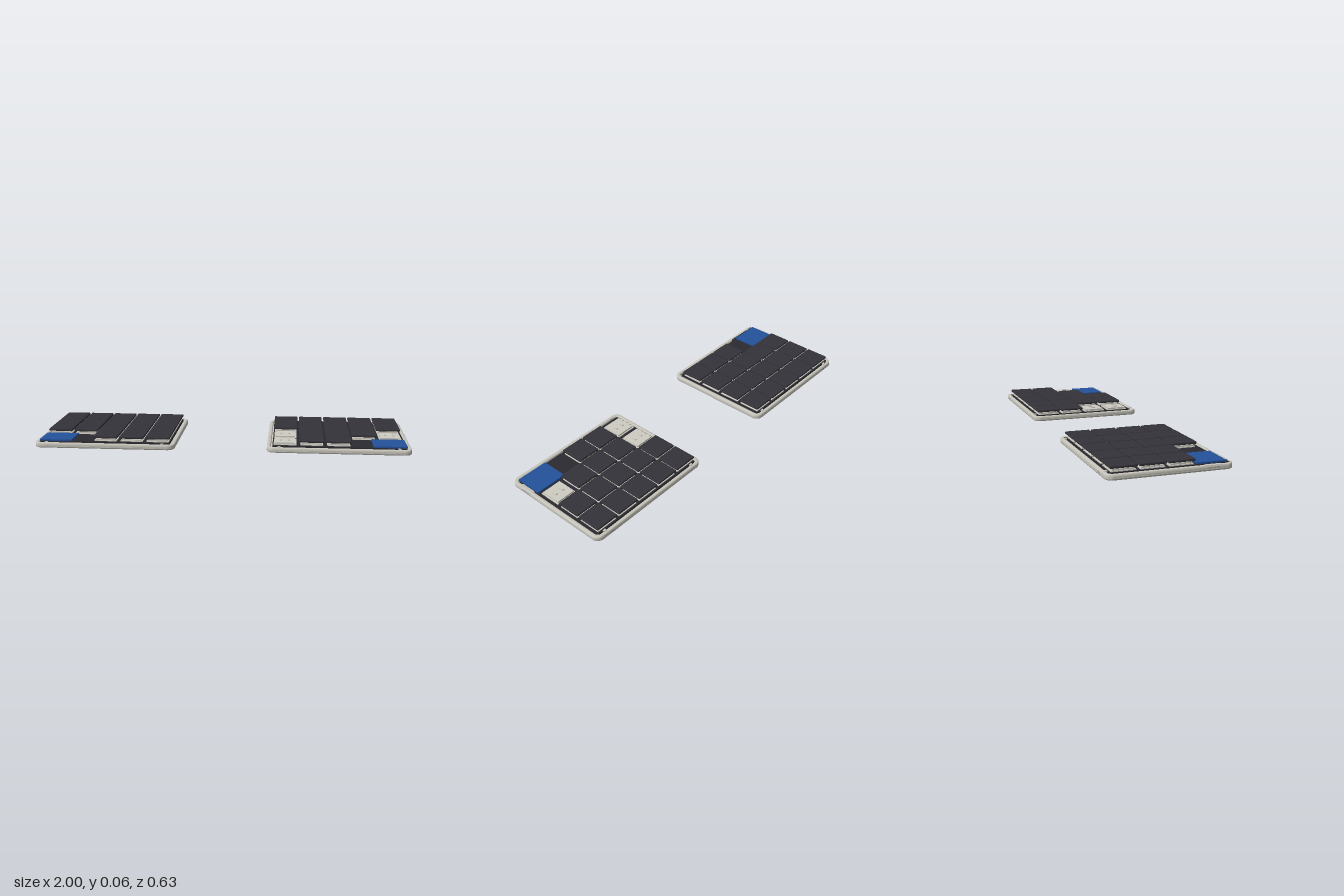
import * as THREE from 'three';
import { toCreasedNormals } from 'three/addons/utils/BufferGeometryUtils.js';
import { RoundedBoxGeometry } from 'three/addons/geometries/RoundedBoxGeometry.js';

const material = (name, color) => Object.assign(new THREE.MeshStandardMaterial({ color }), { name });

const PITCH = 0.1414;
const COLS = [0.340, 0.481, 0.623, 0.764, 0.906];
const ROWS = [0, 1, 2, 3].map((r) => -0.222 + r * PITCH);
const MID_X = 0.6225, WIDTH = 0.755, DEPTH = 0.63;

function roundedRect(w, d, r, Type = THREE.Shape) {
  const s = new Type(), x = w / 2, y = d / 2;
  s.moveTo(-x + r, -y);
  s.lineTo(x - r, -y).absarc(x - r, -y + r, r, -Math.PI / 2, 0);
  s.lineTo(x, y - r).absarc(x - r, y - r, r, 0, Math.PI / 2);
  s.lineTo(-x + r, y).absarc(-x + r, y - r, r, Math.PI / 2, Math.PI);
  s.lineTo(-x, -y + r).absarc(-x + r, -y + r, r, Math.PI, Math.PI * 1.5);
  return s;
}

// Slab lying flat from y0 to y1 with rounded edges
function slab(shape, y0, y1, bevel) {
  const g = new THREE.ExtrudeGeometry(shape, {
    depth: y1 - y0 - 2 * bevel, bevelSize: bevel, bevelThickness: bevel,
    bevelOffset: -bevel, bevelSegments: 4, curveSegments: 8,
  });
  g.rotateX(-Math.PI / 2).translate(0, y0 + bevel, 0);
  return toCreasedNormals(g, 0.7);
}

export function createModel() {
  const mats = {
    shell: material('case light grey', 0xc6c4ba),
    key: material('keycap charcoal', 0x35333a),
    board: material('circuit board black', 0x2b2a30),
    blue: material('controller blue', 0x23529a),
    switchBody: material('switch off-white', 0xcfccc2),
    metal: material('connector grey', 0xa0a4aa),
    rubber: material('rubber black', 0x2a2a2d),
    battery: material('label amber', 0xc67c30),
  };
  const model = new THREE.Group();
  model.name = 'splitKeyboard';

  const add = (parent, name, geometry, mat, x = 0, y = 0, z = 0) => {
    const m = new THREE.Mesh(geometry, mat);
    m.name = name;
    m.position.set(x, y, z);
    parent.add(m);
    return m;
  };
  // Box given by its limits on each axis
  const box = (parent, name, mat, x0, x1, y0, y1, z0, z1) =>
    add(parent, name, new THREE.BoxGeometry(Math.abs(x1 - x0), y1 - y0, z1 - z0), mat,
      (x0 + x1) / 2, (y0 + y1) / 2, (z0 + z1) / 2);

  // Shared geometries
  const floorGeo = slab(roundedRect(WIDTH, DEPTH, 0.04), 0.001, 0.018, 0.006);
  const rimShape = roundedRect(WIDTH, DEPTH, 0.04);
  rimShape.holes.push(roundedRect(WIDTH - 0.042, DEPTH - 0.042, 0.02, THREE.Path));
  const rimGeo = slab(rimShape, 0.006, 0.029, 0.006);
  const capGeo = new RoundedBoxGeometry(0.132, 0.013, 0.132, 2, 0.004);
  const flangeGeo = new THREE.BoxGeometry(0.12, 0.005, 0.12);
  const bodyGeo = new THREE.BoxGeometry(0.108, 0.013, 0.108);
  const stemGeo = new THREE.BoxGeometry(0.012, 0.006, 0.024);
  const footGeo = new THREE.CylinderGeometry(0.03, 0.03, 0.004, 16);
  const ringGeo = new THREE.TorusGeometry(0.027, 0.002, 6, 24).rotateX(Math.PI / 2);
  const portGeo = new RoundedBoxGeometry(0.03, 0.023, 0.074, 3, 0.007);

  function addSwitch(parent, x, z, capped) {
    const key = new THREE.Group();
    key.name = capped ? 'key' : 'bareSwitch';
    key.position.set(x, 0, z);
    add(key, 'switchFlange', flangeGeo, mats.switchBody, 0, 0.0325, 0);
    add(key, 'switchBody', bodyGeo, mats.switchBody, 0, 0.0365, 0);
    for (const s of [-1, 1]) add(key, 'switchStem', stemGeo, mats.switchBody, s * 0.022, 0.045, 0);
    if (capped) add(key, 'keycap', capGeo, mats.key, 0, 0.0535, 0);
    parent.add(key);
  }

  // Columns are counted from the inner edge, rows from the back
  function addHalf(side, name, bare, feet, ring, label) {
    const half = new THREE.Group();
    half.name = name;
    const X = (x) => side * x;
    add(half, 'caseFloor', floorGeo, mats.shell, X(MID_X));
    add(half, 'caseRim', rimGeo, mats.shell, X(MID_X));
    box(half, 'circuitBoard', mats.board, X(0.274), X(0.976), 0.019, 0.0305, -0.291, 0.282);

    ROWS.forEach((z, r) => COLS.forEach((x, c) => {
      if (r === 3 && c > 2) return;
      addSwitch(half, X(x), z, !bare.includes(`${r},${c}`));
    }));

    // Controller module, side port and rear power slider
    box(half, 'controllerBoard', mats.blue, X(0.802), X(0.977), 0.0315, 0.04, 0.134, 0.282);
    box(half, 'portRecess', mats.shell, X(0.97), X(0.9985), 0.006, 0.0285, 0.165, 0.25);
    add(half, 'sidePort', portGeo, mats.metal, X(0.985), 0.0165, 0.207);
    box(half, 'powerSlider', mats.metal, X(0.885), X(0.915), 0.012, 0.02, -0.3165, -0.3);

    // Small locating pegs on the rim
    for (const x of [0.31, 0.935]) {
      box(half, 'rimPeg', mats.shell, X(x - 0.008), X(x + 0.008), 0.026, 0.033, -0.302, -0.29);
      box(half, 'rimPeg', mats.shell, X(x - 0.008), X(x + 0.008), 0.026, 0.033, 0.292, 0.304);
    }

    // Underside
    for (const [x, z] of feet) add(half, 'rubberFoot', footGeo, mats.rubber, X(x), 0.002, z);
    add(half, 'emptyFootRing', ringGeo, mats.shell, X(ring[0]), 0.0015, ring[1]);
    box(half, 'bottomLabel', mats.battery, X(label[0]), X(label[1]), 0.0003, 0.004, -0.24, -0.03);
    model.add(half);
    return half;
  }

  addHalf(1, 'leftHandHalf', ['2,0', '3,0', '2,4'],
    [[0.90, -0.21], [0.825, 0.262], [0.31, -0.225]], [0.318, 0.24], [0.377, 0.67]);
  const other = addHalf(-1, 'rightHandHalf', [],
    [[0.933, -0.235], [0.838, 0.252], [0.338, 0.247]], [0.345, -0.21], [0.443, 0.72]);
  // Board tab showing in front of the controller
  box(other, 'boardTab', mats.board, -0.976, -0.78, 0.02, 0.0305, 0.28, 0.297);

  return model;
}
